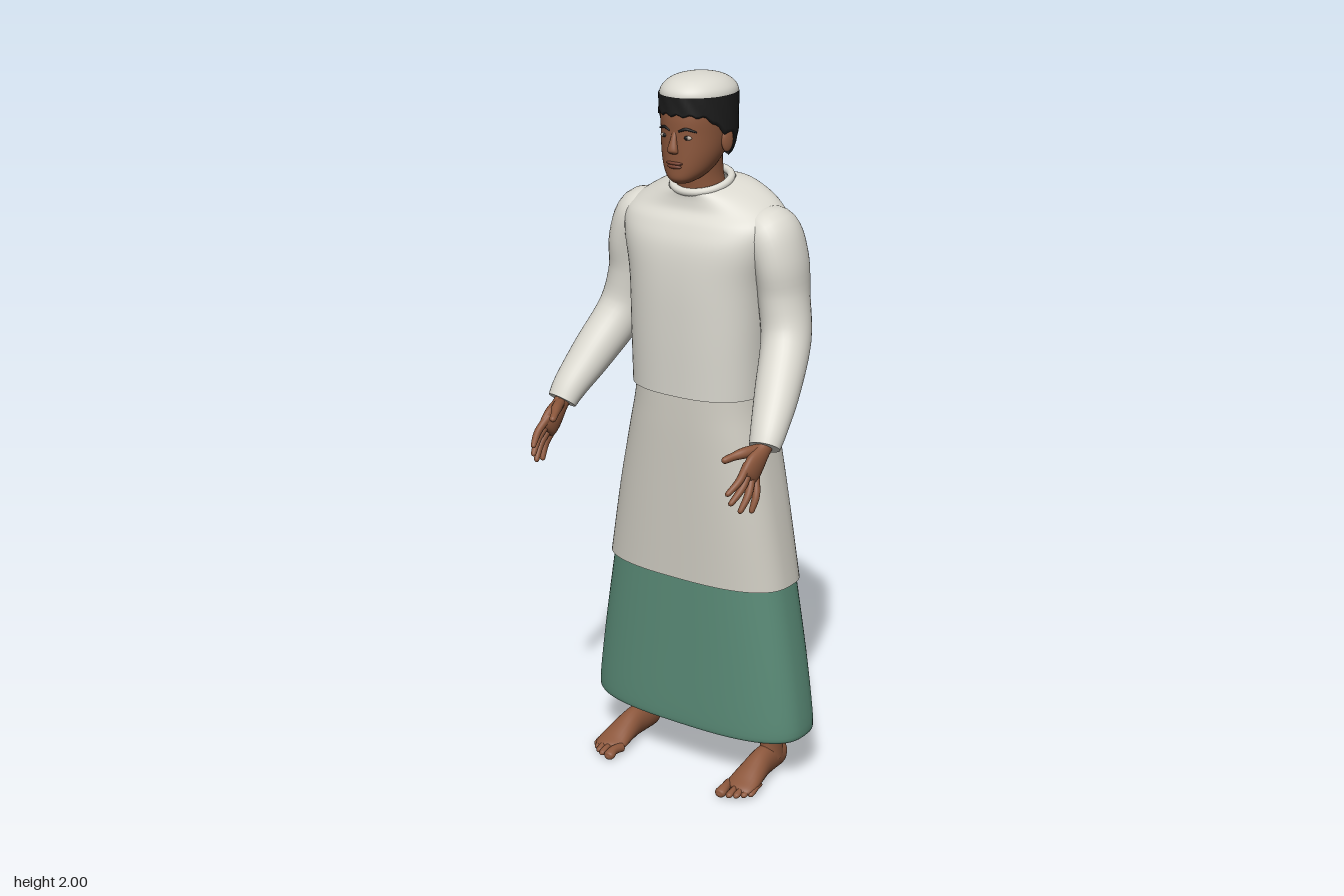
import * as THREE from 'three';

const mat = (name, color, double) => {
  const m = new THREE.MeshStandardMaterial({ color });
  m.name = name;
  if (double) m.side = THREE.DoubleSide;
  return m;
};

// Smooth skin over a grid of points; every row is a closed loop.
function skin(rows, caps) {
  const n = rows[0].length, pos = [], idx = [];
  rows.forEach(r => r.forEach(p => pos.push(p.x, p.y, p.z)));
  for (let i = 0; i < rows.length - 1; i++) for (let j = 0; j < n; j++) {
    const k = (j + 1) % n, a = i * n + j, b = i * n + k;
    idx.push(a, b, b + n, a, b + n, a + n);
  }
  if (caps) [rows[0], rows[rows.length - 1]].forEach((r, end) => {
    const base = pos.length / 3, c = new THREE.Vector3();
    r.forEach(p => { pos.push(p.x, p.y, p.z); c.addScaledVector(p, 1 / n); });
    pos.push(c.x, c.y, c.z);
    for (let j = 0; j < n; j++) {
      const k = (j + 1) % n;
      if (end) idx.push(base + j, base + k, base + n);
      else idx.push(base + k, base + j, base + n);
    }
  });
  const g = new THREE.BufferGeometry();
  g.setAttribute('position', new THREE.Float32BufferAttribute(pos, 3));
  g.setIndex(idx);
  g.computeVertexNormals();
  return g;
}

// Catmull-Rom blend of number lists at t in 0..1.
function blend(keys, t) {
  const f = t * (keys.length - 1), i = Math.min(Math.floor(f), keys.length - 2), w = f - i;
  const at = k => keys[Math.max(0, Math.min(keys.length - 1, k))];
  return keys[i].map((_, c) => {
    const a = at(i - 1)[c], b = at(i)[c], d = at(i + 1)[c], e = at(i + 2)[c];
    return b + 0.5 * w * (d - a + w * (2 * a - 5 * b + 4 * d - e + w * (3 * (b - d) + e - a)));
  });
}

// Cross-sections [x, y, z, halfWidth, halfDepth] along a path; e squares them off.
function loft(keys, { n = 24, sub = 5, e = 2, caps = true, level = false, tweak } = {}) {
  const steps = (keys.length - 1) * sub, rows = [];
  const sec = Array.from({ length: steps + 1 }, (_, i) => blend(keys, i / steps));
  const V = k => new THREE.Vector3(...k.slice(0, 3));
  sec.forEach((k, i) => {
    const t = V(sec[Math.min(i + 1, steps)]).sub(V(sec[Math.max(i - 1, 0)])).normalize();
    if (level) t.set(0, Math.sign(t.y), 0);
    const u = new THREE.Vector3(1, 0, 0).addScaledVector(t, -t.x).normalize();
    const v = t.clone().cross(u), row = [];
    for (let j = 0; j < n; j++) {
      const a = j / n * Math.PI * 2, c = Math.cos(a), s = Math.sin(a);
      const p = V(k)
        .addScaledVector(u, k[3] * Math.sign(c) * Math.abs(c) ** (2 / e))
        .addScaledVector(v, k[4] * Math.sign(s) * Math.abs(s) ** (2 / e));
      if (tweak) tweak(p, k);
      row.push(p);
    }
    rows.push(row);
  });
  return skin(rows, caps);
}

// Level sections given as [y, halfWidth, front z, back z].
const level = (list, opt) => loft(list.map(([y, w, f, b]) => [0, y, (f + b) / 2, w, (f - b) / 2]),
  { n: 64, level: true, ...opt });

export function createModel() {
  const root = new THREE.Group();
  root.name = 'standingMan';
  const cloth = mat('shirtWhite', 0xdbd9d0, true);
  const apron = mat('wrapWhite', 0xcfccc2, true);
  const green = mat('hemGreen', 0x5a8b77, true);
  const skinMat = mat('brownSkin', 0x8c573c);
  const hairMat = mat('blackHair', 0x1c1c1c, true);
  const lipMat = mat('lip', 0x74402f);
  const eyeMat = mat('eyeWhite', 0xb9aca0);
  const add = (name, g, m, parent = root) => {
    const mesh = new THREE.Mesh(g, m);
    mesh.name = name;
    parent.add(mesh);
    return mesh;
  };
  const ball = (name, m, p, s, parent) => {
    const b = add(name, new THREE.SphereGeometry(1, 20, 14), m, parent);
    b.position.set(...p);
    b.scale.set(...s);
    return b;
  };

  // Shirt body, with a soft groove down the spine and a neckline lower in front
  add('shirtBody', level([
    [1.14, 0.197, 0.045, -0.25], [1.3, 0.198, 0.05, -0.243], [1.45, 0.205, 0.05, -0.254],
    [1.55, 0.228, 0.04, -0.258], [1.61, 0.238, 0.015, -0.252], [1.655, 0.205, -0.008, -0.235],
    [1.69, 0.14, -0.015, -0.21], [1.708, 0.085, -0.015, -0.178],
  ], {
    e: 2.5, caps: false, tweak: (p, k) => {
      if (p.z < k[2]) p.z += 0.014 * Math.exp(-((p.x / 0.05) ** 2));
      p.y -= 0.25 * (p.z - k[2]) * THREE.MathUtils.smoothstep(k[1], 1.6, 1.7);
    },
  }), cloth);
  const collar = add('collar', new THREE.TorusGeometry(0.078, 0.011, 12, 48), cloth);
  collar.position.set(0, 1.71, -0.095);
  collar.rotation.x = Math.PI / 2 + 0.26;

  // Wrapped skirt: pale upper layer over a green lower part, open underneath
  add('skirtUpper', level([
    [0.6, 0.291, 0.028, -0.252], [0.82, 0.253, 0.03, -0.25], [1.0, 0.216, 0.031, -0.252],
    [1.09, 0.197, 0.03, -0.255], [1.16, 0.183, 0.028, -0.225],
  ], { e: 2.7, caps: false }), apron);
  add('skirtLower', level([
    [0.145, 0.338, 0.018, -0.253], [0.18, 0.345, 0.022, -0.256], [0.38, 0.318, 0.022, -0.253],
    [0.63, 0.276, 0.022, -0.246],
  ], { e: 2.7, caps: false }), green);

  // Neck and head
  add('neck', loft([[0, 1.62, -0.1, 0.07, 0.075], [0, 1.69, -0.092, 0.064, 0.07],
    [0, 1.74, -0.085, 0.058, 0.07], [0, 1.8, -0.08, 0.06, 0.07]], { level: true, n: 32 }), skinMat);
  add('head', level([
    [1.722, 0.024, 0.024, -0.03], [1.735, 0.044, 0.035, -0.07], [1.76, 0.064, 0.037, -0.11],
    [1.8, 0.079, 0.037, -0.148], [1.85, 0.086, 0.037, -0.178], [1.9, 0.088, 0.037, -0.188],
    [1.95, 0.08, 0.025, -0.18], [1.985, 0.045, -0.02, -0.13],
  ], { e: 2.1 }), skinMat);
  add('nose', loft([[0, 1.862, 0.03, 0.007, 0.006], [0, 1.84, 0.038, 0.009, 0.008],
    [0, 1.815, 0.043, 0.015, 0.011], [0, 1.806, 0.041, 0.015, 0.009], [0, 1.801, 0.036, 0.006, 0.004]],
  { level: true, n: 16 }), skinMat);
  ball('upperLip', lipMat, [0, 1.777, 0.034], [0.026, 0.005, 0.008]);
  ball('lowerLip', lipMat, [0, 1.768, 0.034], [0.022, 0.006, 0.008]);

  // Hair: a shell with a hairline high in front, shorter over the ears and low at the nape
  const hairRows = [];
  for (let i = 0; i <= 14; i++) {
    const row = [];
    for (let j = 0; j < 72; j++) {
      const a = -j / 72 * Math.PI * 2, f = Math.cos(a), side = Math.abs(Math.sin(a));
      const low = f > 0
        ? 1.9 - 0.055 * side ** 8 + 0.004 * Math.sin(a * 17)
        : 1.845 - 0.07 * THREE.MathUtils.smoothstep(-f, 0.1, 0.6);
      const y = THREE.MathUtils.lerp(1.95, low, i / 14);
      const s = 1 - 0.22 * Math.max(0, (1.86 - y) / 0.085) ** 2
        - (i === 14 ? 0.05 : 0) + 0.008 * Math.sin(a * 13 + y * 90);
      row.push(new THREE.Vector3(Math.sin(a) * 0.099 * s, y, -0.078 + f * 0.119 * s));
    }
    hairRows.push(row);
  }
  add('hair', skin(hairRows.reverse().map(r => r.reverse())), hairMat);

  // Rounded cap
  add('cap', level([
    [1.937, 0.088, 0.028, -0.187], [1.945, 0.097, 0.039, -0.197], [1.965, 0.092, 0.034, -0.192],
    [1.985, 0.071, 0.01, -0.165], [1.996, 0.04, -0.03, -0.125], [2.0, 0.003, -0.075, -0.081],
  ]), cloth);

  for (const s of [1, -1]) {
    const side = new THREE.Group();
    side.name = s > 0 ? 'leftSide' : 'rightSide';
    root.add(side);
    const limb = (name, m, keys, opt) =>
      add(name, loft(keys.map(([x, ...r]) => [x * s, ...r]), opt), m, side);

    // Eye, brow and ear
    ball('eye', eyeMat, [s * 0.035, 1.846, 0.026], [0.014, 0.006, 0.006], side);
    ball('iris', hairMat, [s * 0.034, 1.846, 0.0295], [0.006, 0.0055, 0.004], side);
    limb('brow', hairMat, [[0.014, 1.862, 0.035, 0.003, 0.003], [0.034, 1.869, 0.03, 0.004, 0.004],
      [0.058, 1.861, 0.016, 0.002, 0.002]], { n: 10 });
    const ear = ball('ear', skinMat, [s * 0.09, 1.83, -0.078], [0.009, 0.032, 0.019], side);
    ear.rotation.y = s * -0.3;

    // Sleeve from shoulder to cuff
    limb('sleeve', cloth, [
      [0.15, 1.625, -0.12, 0.03, 0.06], [0.2, 1.595, -0.12, 0.07, 0.088],
      [0.234, 1.52, -0.12, 0.068, 0.09], [0.245, 1.42, -0.122, 0.066, 0.08],
      [0.268, 1.31, -0.098, 0.067, 0.07], [0.302, 1.2, -0.005, 0.061, 0.058],
      [0.325, 1.12, 0.07, 0.05, 0.045], [0.332, 1.08, 0.102, 0.043, 0.037],
    ], { n: 32 });

    // Hand
    limb('palm', skinMat, [[0.332, 1.1, 0.08, 0.022, 0.026], [0.331, 1.074, 0.11, 0.02, 0.025],
      [0.33, 1.045, 0.145, 0.019, 0.038], [0.33, 1.02, 0.172, 0.015, 0.038],
      [0.33, 1.012, 0.18, 0.006, 0.028]]);
    limb('thumb', skinMat, [[0.328, 1.08, 0.115, 0.014, 0.014], [0.308, 1.077, 0.158, 0.015, 0.015],
      [0.292, 1.072, 0.187, 0.011, 0.011], [0.28, 1.066, 0.212, 0.009, 0.009],
      [0.277, 1.064, 0.219, 0.002, 0.002]], { n: 14 });
    [
      ['indexFinger', [0.327, 1.045, 0.185], [0.314, 0.99, 0.257]],
      ['middleFinger', [0.33, 1.03, 0.178], [0.32, 0.962, 0.25]],
      ['ringFinger', [0.333, 1.012, 0.166], [0.332, 0.934, 0.222]],
      ['littleFinger', [0.336, 1.0, 0.148], [0.342, 0.924, 0.182]],
    ].forEach(([name, a, b]) => limb(name, skinMat,
      [[-0.15, 0.011], [0.4, 0.0105], [0.85, 0.008], [0.96, 0.006], [1, 0.001]].map(([t, r]) =>
        [...a.map((v, i) => v + (b[i] - v) * t + (i === 0 ? 0.008 * Math.sin(Math.PI * t) : 0)), r, r]),
      { n: 12 }));

    // Lower leg, foot and toes
    limb('leg', skinMat, [[0.225, 0.045, -0.125, 0.03, 0.046], [0.225, 0.1, -0.127, 0.028, 0.042],
      [0.225, 0.16, -0.127, 0.031, 0.044], [0.215, 0.3, -0.125, 0.046, 0.056],
      [0.2, 0.5, -0.115, 0.052, 0.06]], { level: true });
    limb('foot', skinMat, [
      [0.222, 0.034, -0.188, 0.008, 0.014], [0.222, 0.038, -0.174, 0.026, 0.037],
      [0.222, 0.045, -0.13, 0.031, 0.044], [0.224, 0.046, -0.075, 0.033, 0.045],
      [0.226, 0.035, -0.02, 0.041, 0.034], [0.227, 0.023, 0.025, 0.047, 0.022],
      [0.226, 0.017, 0.052, 0.042, 0.015], [0.225, 0.015, 0.06, 0.028, 0.008],
    ]);
    [[0.194, 0.102, 0.017], [0.221, 0.097, 0.0105], [0.239, 0.087, 0.0105], [0.255, 0.073, 0.01],
      [0.269, 0.058, 0.0095]].forEach(([x, z, r]) => limb('toe', skinMat, [
      [x - 0.006, 0.018, z - 0.065, r * 0.8, r * 0.8], [x, 0.02, z - 0.035, r * 0.8, r * 0.8],
      [x, 0.014, z - 0.013, r, r * 0.8], [x, 0.012, z - 0.004, r * 0.7, r * 0.6],
      [x, 0.012, z, r * 0.1, r * 0.1]], { n: 14 }));
  }
  return root;
}
